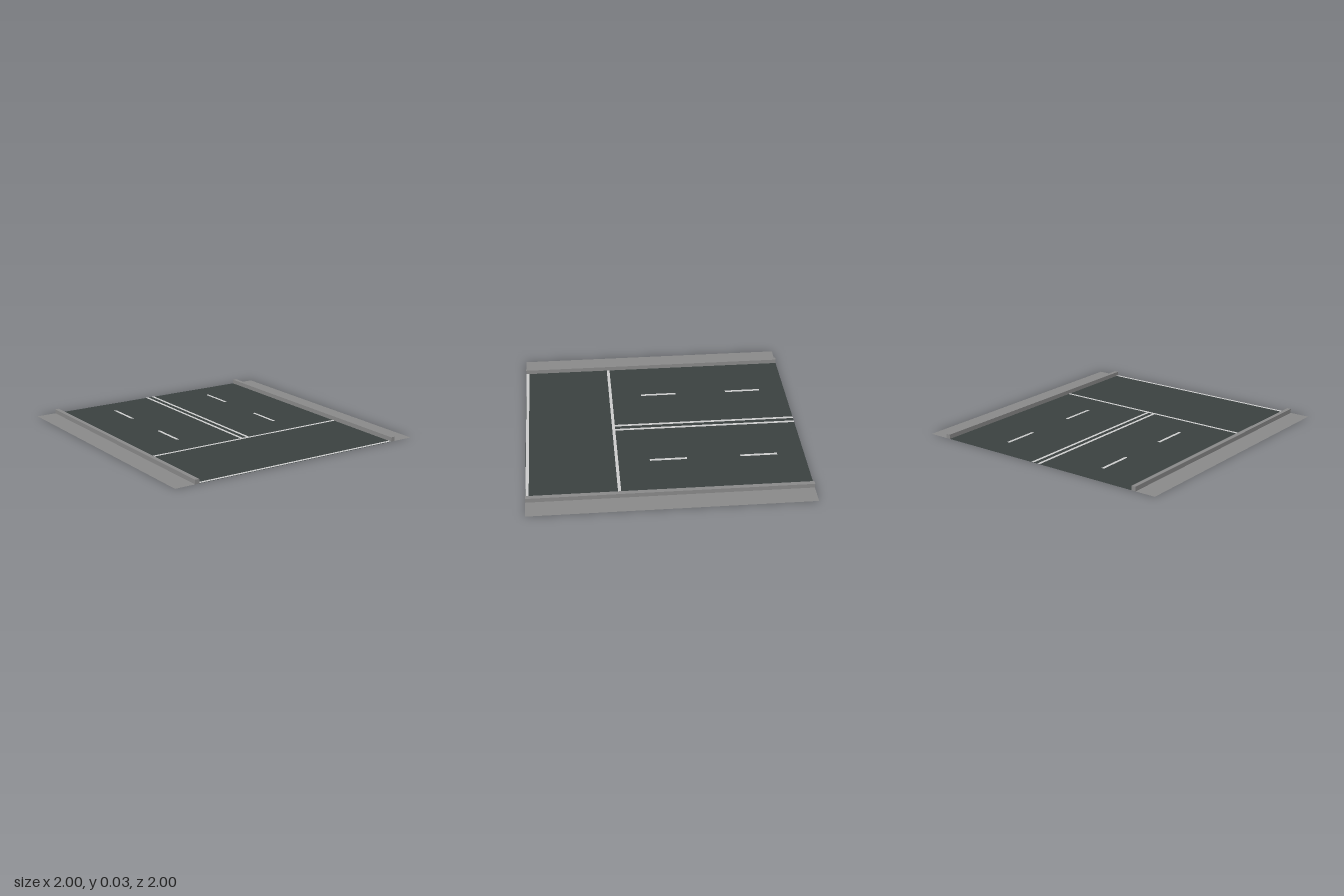
import * as THREE from 'three';

const material = (name, color) => {
  const m = new THREE.MeshStandardMaterial({ color, side: THREE.DoubleSide });
  m.name = name;
  return m;
};

export function createModel() {
  const group = new THREE.Group();
  const asphalt = material('asphalt', 0x3a4140);
  const concrete = material('concrete', 0x8a8a8a);
  const paint = material('line paint', 0xcccccc);

  // Horizontal sheet spanning x0..x1 and z0..z1
  const sheet = (name, mat, x0, x1, z0, z1, y) => {
    const geo = new THREE.PlaneGeometry(x1 - x0, z1 - z0).rotateX(-Math.PI / 2);
    const mesh = new THREE.Mesh(geo, mat);
    mesh.position.set((x0 + x1) / 2, y, (z0 + z1) / 2);
    mesh.name = name;
    group.add(mesh);
  };

  // Road surface
  sheet('road', asphalt, -0.82, 0.82, -1, 1, 0);

  // Stop line and front edge line
  const paintY = 0.002;
  sheet('stopLine', paint, -0.82, 0.82, 0.34, 0.362, paintY);
  sheet('edgeLine', paint, -0.82, 0.82, 0.976, 0.998, paintY);

  for (const [side, s] of [['left', 1], ['right', -1]]) {
    const mirrored = (name, mat, a, b, z0, z1, y) =>
      sheet(side + name, mat, Math.min(s * a, s * b), Math.max(s * a, s * b), z0, z1, y);

    // Sidewalk strip
    mirrored('Sidewalk', concrete, 0.848, 1, -1, 1, 0);

    // Raised curb between road and sidewalk
    const curb = new THREE.Mesh(new THREE.BoxGeometry(0.032, 0.032, 2), concrete);
    curb.position.set(s * 0.832, 0.016, 0);
    curb.name = side + 'Curb';
    group.add(curb);

    // Double centre line and lane dashes
    mirrored('CentreLine', paint, 0.016, 0.038, -1, 0.34, paintY);
    mirrored('RearDash', paint, 0.417, 0.439, -0.805, -0.537, paintY);
    mirrored('FrontDash', paint, 0.417, 0.439, -0.152, 0.115, paintY);
  }
  return group;
}
